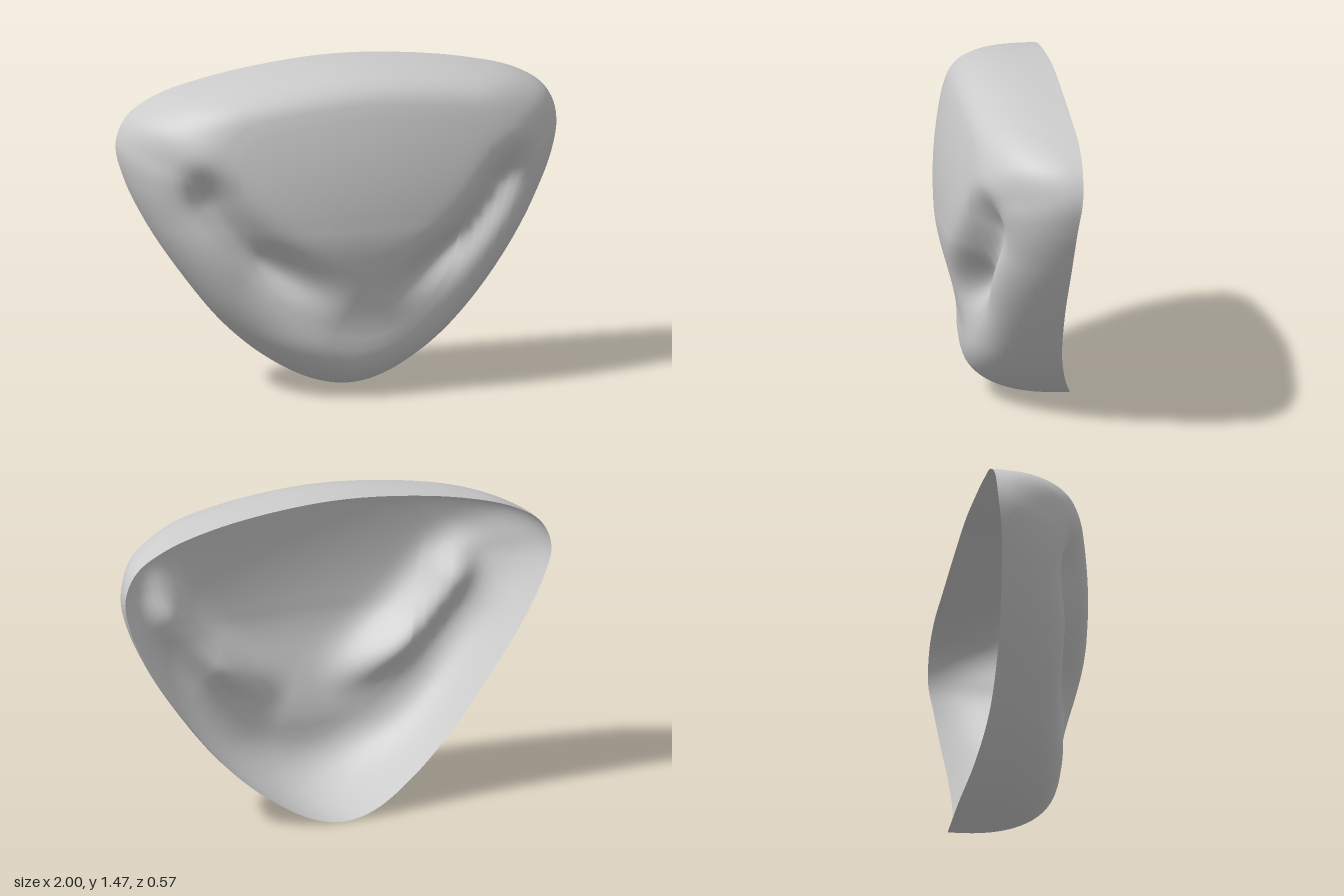
import * as THREE from 'three';

const { smoothstep, lerp, clamp } = THREE.MathUtils;
const CENTRE = new THREE.Vector2(0, 0.8);
const SEGMENTS = 200, WALL_RINGS = 18, FACE_RINGS = 50, HOLLOW_STEPS = 60;

// Right half of the open back rim, top to bottom
const halfRim = [
  [0, 1.475, -0.22], [0.3, 1.457, -0.22], [0.6, 1.41, -0.225], [0.82, 1.345, -0.235],
  [0.95, 1.26, -0.235], [1, 1.14, -0.23], [0.97, 0.99, -0.21], [0.87, 0.78, -0.195],
  [0.72, 0.55, -0.185], [0.53, 0.31, -0.195], [0.35, 0.15, -0.23], [0.15, 0.035, -0.275],
  [0, 0.005, -0.285],
];
const rimPoints = [
  ...halfRim,
  ...halfRim.slice(1, -1).reverse().map(([x, y, z]) => [-x, y, z]),
].map((p) => new THREE.Vector3(...p));
const rim = new THREE.CatmullRomCurve3(rimPoints, true).getSpacedPoints(SEGMENTS);

// Centre line of the slanted hollow, mirrored through |x|
const hollow = new THREE.CatmullRomCurve3([
  new THREE.Vector3(0.79, 1.14, 0), new THREE.Vector3(0.68, 0.93, 0),
  new THREE.Vector3(0.51, 0.72, 0), new THREE.Vector3(0.32, 0.57, 0),
  new THREE.Vector3(0.06, 0.43, 0),
]).getSpacedPoints(HOLLOW_STEPS);

// Depth of the hollow: a steep inner wall, a narrow gutter and a lowered lip outside
function hollowDepth(x, y) {
  x = Math.abs(x);
  let best = Infinity, along = 0, side = 0;
  for (let i = 0; i < HOLLOW_STEPS; i++) {
    const a = hollow[i], dx = hollow[i + 1].x - a.x, dy = hollow[i + 1].y - a.y;
    const t = clamp(((x - a.x) * dx + (y - a.y) * dy) / (dx * dx + dy * dy), 0, 1);
    const d = Math.hypot(a.x + t * dx - x, a.y + t * dy - y);
    if (d < best) {
      best = d;
      along = (i + t) / HOLLOW_STEPS;
      side = dx * (y - a.y) - dy * (x - a.x);
    }
  }
  const mask = smoothstep(along, 0, 0.25) * (1 - smoothstep(along, 0.56, 1));
  const inner = 0.16 * Math.exp(-((best / 0.1) ** 2));
  const outer = 0.1 * Math.exp(-((best / 0.22) ** 2)) + 0.06 * Math.exp(-((best / 0.07) ** 2));
  return mask * (side < 0 ? inner : outer);
}

// Height of the gently domed front
function faceZ(x, y) {
  const brow = Math.max(0, y - 0.85);
  return 0.19 + 0.095 * smoothstep(y, 0.3, 0.8) - 0.3 * brow * brow - 0.13 * x * x;
}

// A point on the shell; ring 0 is the rim, the last ring is the centre
function shellPoint(edge, ring) {
  const upper = smoothstep(edge.y, 0.8, 1.4);
  const corner = smoothstep(Math.abs(edge.x), 0.6, 0.97) * (1 - 0.45 * smoothstep(edge.y, 1.12, 1.34));
  const width = lerp(lerp(0.33, 0.25, upper), 0.45, corner);
  const power = lerp(lerp(2.45, 3.4, upper), 2, corner);
  let inset, rise;
  if (ring <= WALL_RINGS) {
    const t = (ring / WALL_RINGS) * Math.PI / 2;
    inset = width * (1 - Math.pow(Math.max(0, Math.cos(t)), 2 / power));
    rise = Math.pow(Math.sin(t), 2 / power);
  } else {
    inset = lerp(width, 1, (ring - WALL_RINGS) / FACE_RINGS);
    rise = 1;
  }
  const x = lerp(edge.x, CENTRE.x, inset), y = lerp(edge.y, CENTRE.y, inset);
  const z = lerp(edge.z, faceZ(x, y), rise) - hollowDepth(x, y) * rise ** 3;
  return [x, y, z];
}

function shellGeometry() {
  const rings = WALL_RINGS + FACE_RINGS;
  const positions = [], indices = [];
  for (let r = 0; r < rings; r++) {
    for (let i = 0; i < SEGMENTS; i++) positions.push(...shellPoint(rim[i], r));
  }
  positions.push(...shellPoint(rim[0], rings));
  const at = (r, i) => (r === rings ? rings * SEGMENTS : r * SEGMENTS + (i % SEGMENTS));
  for (let r = 0; r < rings; r++) {
    for (let i = 0; i < SEGMENTS; i++) {
      indices.push(at(r, i), at(r + 1, i), at(r, i + 1));
      if (r < rings - 1) indices.push(at(r, i + 1), at(r + 1, i), at(r + 1, i + 1));
    }
  }
  const geometry = new THREE.BufferGeometry();
  geometry.setAttribute('position', new THREE.Float32BufferAttribute(positions, 3));
  geometry.setIndex(indices);
  geometry.computeVertexNormals();
  return geometry;
}

export function createModel() {
  const group = new THREE.Group();
  const material = new THREE.MeshStandardMaterial({ color: 0xcccccc, side: THREE.DoubleSide });
  // Thin shell, open at the back
  const shell = new THREE.Mesh(shellGeometry(), material);
  shell.name = 'shell';
  group.add(shell);
  return group;
}
